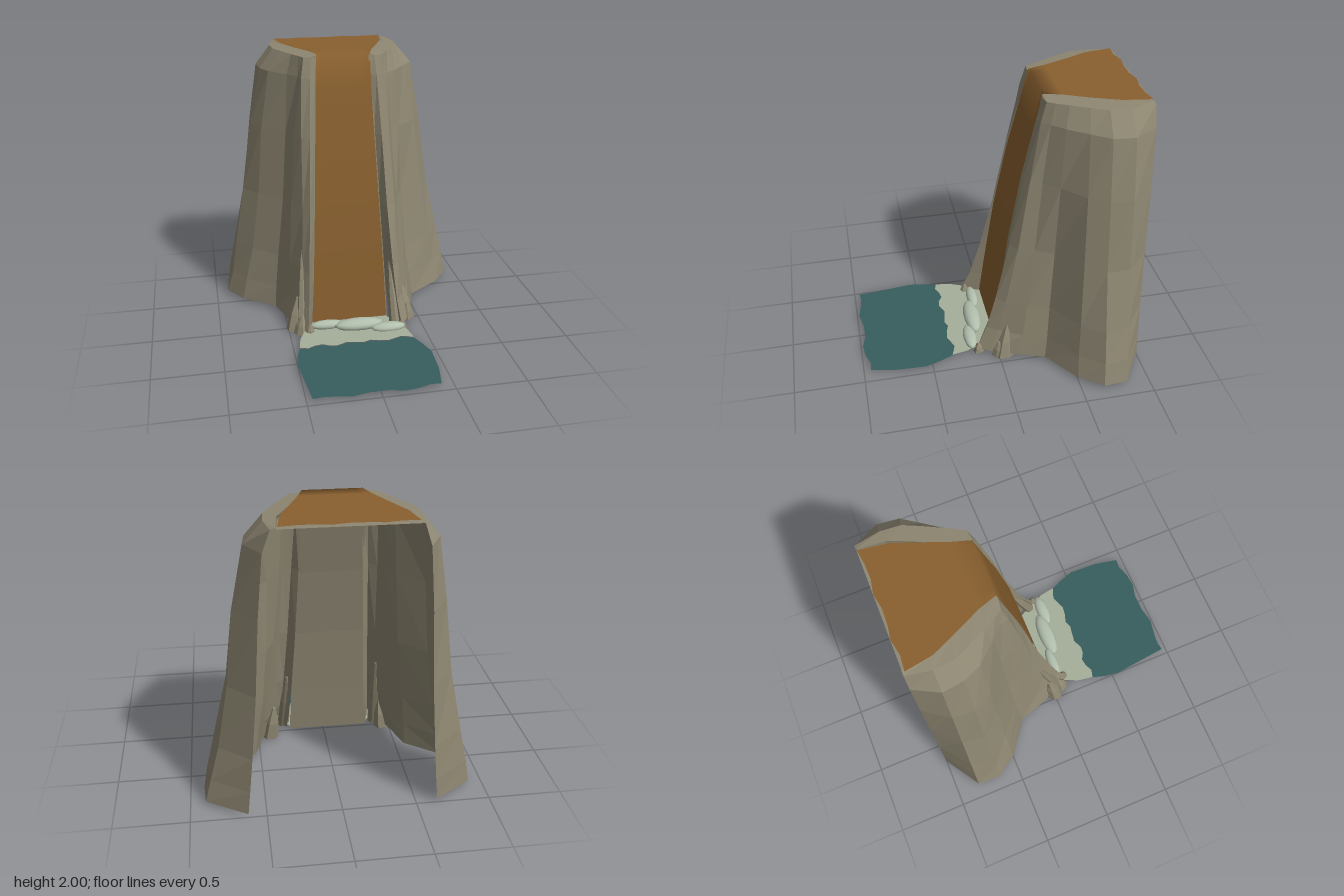
import * as THREE from 'three';

// Surface through rows of [x, y, z] points; every row has the same length
function gridGeometry(rows) {
  const n = rows[0].length, index = [];
  for (let r = 0; r < rows.length - 1; r++) {
    for (let c = 0; c < n - 1; c++) {
      const a = r * n + c, b = a + 1, d = a + n, e = d + 1;
      index.push(a, b, e, a, e, d);
    }
  }
  const geo = new THREE.BufferGeometry();
  geo.setAttribute('position', new THREE.Float32BufferAttribute(rows.flat(2), 3));
  geo.setIndex(index);
  geo.computeVertexNormals();
  return geo;
}

// Flat-shaded copy with one normal per face
function faceted(geo) {
  const g = geo.index ? geo.toNonIndexed() : geo;
  g.computeVertexNormals();
  return g;
}

// Flat sheet lying at height y, outlined by [x, z] points
function sheetGeometry(outline, y) {
  const geo = new THREE.ShapeGeometry(new THREE.Shape(outline.map(([x, z]) => new THREE.Vector2(x, -z))));
  return geo.rotateX(-Math.PI / 2).translate(0, y, 0);
}

export function createModel() {
  const group = new THREE.Group();
  const material = (name, color, side = THREE.DoubleSide) => {
    const m = new THREE.MeshStandardMaterial({ color, side });
    m.name = name;
    return m;
  };
  const rock = material('rock', 0x8e8772);
  const water = material('muddy water', 0x89602f);
  const pool = material('pool water', 0x375e5e);
  const foam = material('foam', 0xa5af9a);
  const spray = material('spray', 0xb3c0ae);
  const add = (name, geo, mat) => {
    const mesh = new THREE.Mesh(geo, mat);
    mesh.name = name;
    group.add(mesh);
    return mesh;
  };

  // The right-hand cliff (+x) is a mirror image, slightly closer to the middle
  const sideX = (x, side) => side < 0 ? x : -x - 0.055 * Math.max(0, 1 + x / 0.95);

  // Cliff columns: base x, z; rim x, z; bank edge x, z; how far each follows the front curve
  const columns = [
    [-0.64, -1.00, -0.46, -1.00, -0.43, -1.00, 0.0],
    [-0.90, -0.83, -0.49, -0.83, -0.41, -0.80, 0.0],
    [-0.91, -0.66, -0.48, -0.69, -0.35, -0.66, 0.0],
    [-0.80, -0.50, -0.43, -0.58, -0.30, -0.56, 0.1],
    [-0.56, -0.32, -0.37, -0.46, -0.25, -0.45, 0.3],
    [-0.50, -0.13, -0.33, -0.38, -0.22, -0.36, 0.8],
    [-0.43, 0.06, -0.30, -0.33, -0.21, -0.33, 1.0],
    [-0.37, 0.15, -0.25, -0.32, -0.21, -0.32, 1.0],
    [-0.32, 0.00, -0.21, -0.32, -0.21, -0.32, 1.0],
  ];
  // Levels: height, inward slope of the wings, inward slope of the front
  const levels = [
    [0.03, 0, 0], [0.2, 0.09, 0.16], [0.45, 0.21, 0.31], [0.9, 0.40, 0.53],
    [1.42, 0.55, 0.73], [1.84, 0.74, 0.91], [1.98, 1, 1],
  ];
  for (const side of [-1, 1]) {
    const rows = levels.map(([y, wing, front], r) => columns.map(([bx, bz, tx, tz, , , k], c) => {
      const f = wing + (front - wing) * k;
      const wobble = r > 0 && r < 6 && c > 0 && c < 7 ? 0.012 * Math.sin(c * 4.1 + r * 1.3 + side) : 0;
      return [sideX(bx + (tx - bx) * f + wobble, side), y, bz + (tz - bz) * f];
    }));
    rows.push(columns.map(c => [sideX(c[4], side), 1.99, c[5]]));
    if (side > 0) rows.forEach(row => row.reverse());
    add(side < 0 ? 'rightCliff' : 'leftCliff', faceted(gridGeometry(rows)), rock);
  }

  // Stream path: left x, right x, y, z from the back of the plateau over the lip and down
  const path = [
    [-0.44, 0.39, 1.995, -0.985], [-0.41, 0.36, 1.995, -0.80], [-0.33, 0.29, 1.995, -0.62],
    [-0.25, 0.22, 2.0, -0.45], [-0.21, 0.18, 2.0, -0.325], [-0.225, 0.18, 1.75, -0.27],
    [-0.245, 0.19, 1.4, -0.19], [-0.27, 0.21, 0.9, -0.10], [-0.295, 0.235, 0.4, -0.035],
    [-0.32, 0.25, 0.04, 0.005],
  ];
  const sheet = (dy, dz, widen, wavy) => gridGeometry(path.map(([a, b, y, z], r) =>
    Array.from({ length: 9 }, (_, i) => [
      a - widen + (b - a + 2 * widen) * i / 8, y - dy,
      z - dz + (wavy && r === 0 ? 0.012 * Math.sin(i * 2.2) : 0),
    ])).reverse());
  add('fallingWater', sheet(0, 0, 0, true), water);
  // Rock bed hidden behind the water
  add('streamBed', faceted(sheet(0.014, 0.014, 0.01, false)), rock);

  // Wavy border shared by the foam apron and the pool
  const border = [
    [-0.46, 0.34], [-0.40, 0.355], [-0.35, 0.33], [-0.29, 0.32], [-0.24, 0.35], [-0.19, 0.355],
    [-0.12, 0.325], [-0.05, 0.335], [0.01, 0.345], [0.06, 0.325], [0.12, 0.345], [0.19, 0.355],
    [0.25, 0.33], [0.29, 0.315], [0.33, 0.325], [0.38, 0.345],
  ];
  add('foamApron', sheetGeometry([...border, [0.36, 0.23], [0.31, 0.12], [0.25, 0],
    [-0.32, 0], [-0.40, 0.13], [-0.44, 0.22]], 0.034), foam);
  add('pool', sheetGeometry([...border, [0.42, 0.44], [0.455, 0.55], [0.445, 0.77], [0.41, 0.95],
    [0.34, 0.945], [0.25, 0.975], [0.15, 0.985], [0.05, 0.96], [-0.08, 0.96], [-0.20, 0.985],
    [-0.34, 0.96], [-0.40, 0.955], [-0.46, 0.965], [-0.48, 0.77], [-0.505, 0.55], [-0.49, 0.44]], 0.028), pool);

  // Foam mounds where the fall lands: x, y, z, half sizes
  for (const [x, y, z, a, b, c] of [
    [-0.22, 0.055, 0.085, 0.125, 0.035, 0.042],
    [0.015, 0.06, 0.13, 0.185, 0.046, 0.062],
    [0.225, 0.045, 0.185, 0.13, 0.036, 0.05],
  ]) {
    add('foamMound', new THREE.SphereGeometry(1, 14, 8).scale(a, b, c).translate(x, y, z), spray);
  }

  // Boulders and slim spurs at the cliff foot: x, z, radius, height, lean x, lean z
  const boulders = [
    [0.41, -0.04, 0.07, 0.25, -0.03, -0.03], [-0.45, 0.0, 0.065, 0.24, 0.03, -0.03],
    [0.41, 0.0, 0.05, 0.12, 0, 0], [-0.41, 0.08, 0.055, 0.13, 0.01, -0.02],
    [0.30, 0.10, 0.045, 0.50, -0.02, -0.16], [-0.40, 0.06, 0.045, 0.60, 0.03, -0.17],
    [0.34, 0.14, 0.04, 0.07, 0, 0], [-0.35, 0.12, 0.04, 0.08, 0, 0],
  ];
  boulders.forEach(([x, z, radius, h, lx, lz], i) => {
    const geo = new THREE.CylinderGeometry(radius * 0.2, radius, h, 7, 2);
    const p = geo.attributes.position;
    for (let v = 0; v < p.count; v++) {
      const t = p.getY(v) / h + 0.5;
      const bulge = Math.abs(t - 0.5) < 0.1 ? 1.25 : 1;
      const rough = 1 + 0.12 * Math.sin(Math.round(Math.atan2(p.getX(v), p.getZ(v)) * 7 / 6.283 + 7) % 7 * 2.3 + i);
      p.setXYZ(v, p.getX(v) * bulge * rough + x + lx * t, t * h + 0.005, p.getZ(v) * bulge * rough + z + lz * t);
    }
    add(h > 0.4 ? 'rockSpur' : 'boulder', faceted(geo), rock);
  });

  return group;
}
